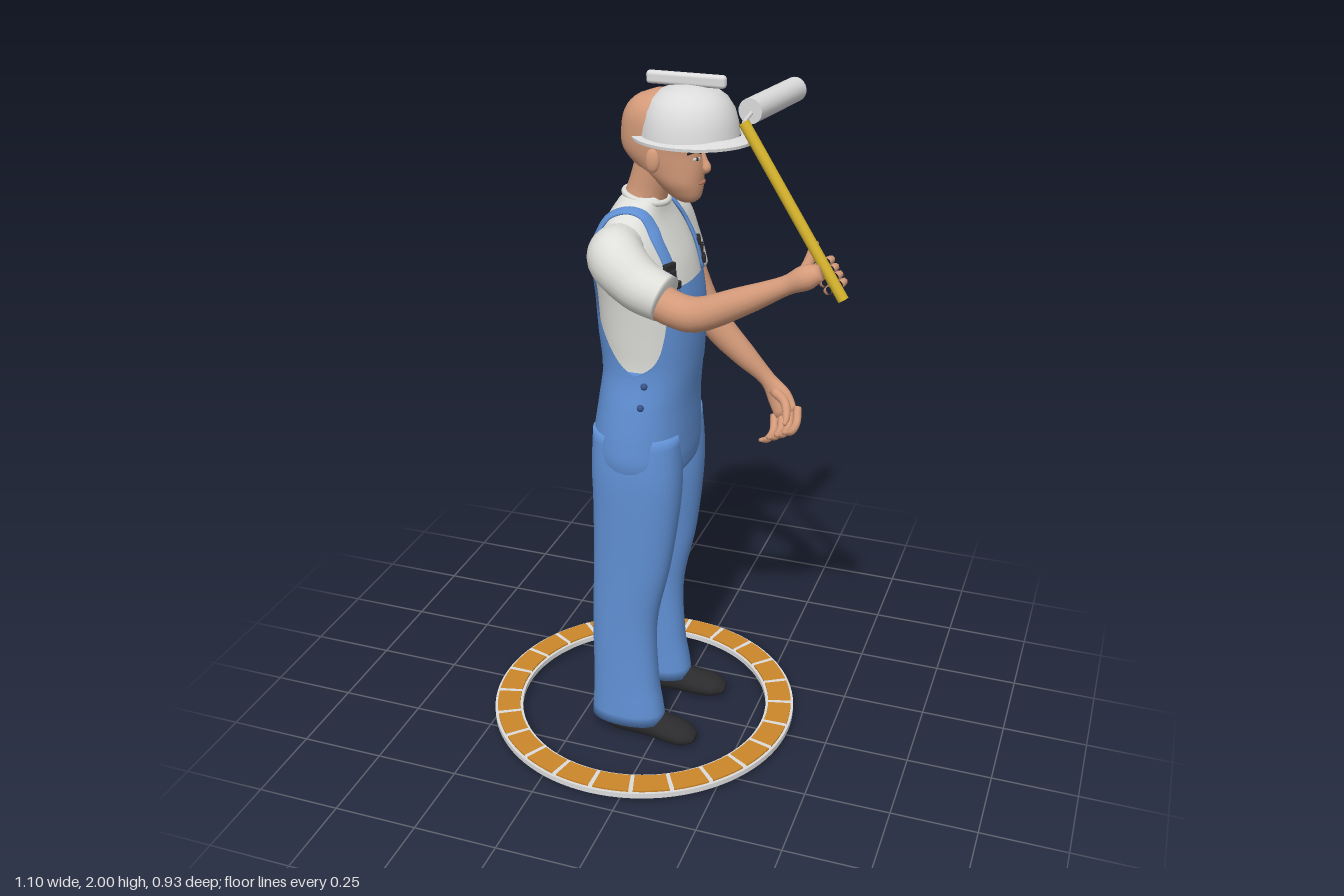
import * as THREE from 'three';
import { toCreasedNormals } from 'three/addons/utils/BufferGeometryUtils.js';
import { RoundedBoxGeometry } from 'three/addons/geometries/RoundedBoxGeometry.js';

const V = (x, y, z) => new THREE.Vector3(x, y, z);
const mat = (name, color, side = THREE.FrontSide) => {
  const m = new THREE.MeshStandardMaterial({ color, side });
  m.name = name;
  return m;
};

// Smooth surface from f(u, v); u runs around, v runs along; closed ones get end caps
function grid(f, nu, nv, closed = true) {
  const pos = [], idx = [], w = closed ? nu : nu + 1;
  for (let j = 0; j <= nv; j++) for (let i = 0; i < w; i++) pos.push(...f(i / nu, j / nv).toArray());
  for (let j = 0; j < nv; j++) for (let i = 0; i < nu; i++) {
    const a = j * w + i, b = j * w + (i + 1) % w, c = a + w, d = b + w;
    idx.push(a, b, d, a, d, c);
  }
  if (closed) for (const j of [0, nv]) {
    const mid = V(0, 0, 0), n = pos.length / 3;
    for (let i = 0; i < w; i++) mid.add(f(i / nu, j / nv));
    pos.push(...mid.divideScalar(w).toArray());
    for (let i = 0; i < w; i++) {
      const a = j * w + i, b = j * w + (i + 1) % w;
      if (j === 0) idx.push(n, b, a); else idx.push(n, a, b);
    }
  }
  const g = new THREE.BufferGeometry();
  g.setAttribute('position', new THREE.Float32BufferAttribute(pos, 3));
  g.setIndex(idx);
  g.computeVertexNormals();
  return g;
}

// Smooth lookup in rows sorted by their first value
function at(rows, t) {
  const n = rows.length - 1;
  let k = 0;
  while (k < n - 1 && rows[k + 1][0] < t) k++;
  const slope = (i, c) => {
    const p = rows[Math.max(i - 1, 0)], q = rows[Math.min(i + 1, n)];
    return (q[c] - p[c]) / (q[0] - p[0]);
  };
  const a = rows[k], b = rows[k + 1], h = b[0] - a[0];
  const s = Math.min(Math.max((t - a[0]) / h, 0), 1), s2 = s * s, s3 = s2 * s;
  return a.map((v, c) => c === 0 ? t : (2 * s3 - 3 * s2 + 1) * v + (s3 - 2 * s2 + s) * h * slope(k, c)
    + (3 * s2 - 2 * s3) * b[c] + (s3 - s2) * h * slope(k + 1, c));
}

// Point on stacked oval rings [y, cx, cz, rx, rz]; angle 0 faces forward (+x)
function onRings(rows, y, ang, off = 0, e = 0.88) {
  const [, cx, cz, rx, rz] = at(rows, y), c = Math.cos(ang), s = Math.sin(ang);
  return V(cx + (rx + off) * Math.sign(c) * Math.abs(c) ** e, y, cz + (rz + off) * Math.sign(s) * Math.abs(s) ** e);
}
const loft = (rows, y0, y1, off = 0, nv = 30, e = 0.88) =>
  grid((u, v) => onRings(rows, y0 + (y1 - y0) * v, -u * Math.PI * 2, off, e), 36, nv);

// Oval tube through rows [x, y, z, radius, cross radius]; ref sets the first radius direction
function sweep(rows, ref, nu = 16, nv = 24) {
  const curve = new THREE.CatmullRomCurve3(rows.map(r => V(...r)));
  const radii = rows.map((r, i) => [i, r[3], r[4] ?? r[3]]);
  return grid((u, v) => {
    const p = curve.getPoint(v), t = curve.getTangent(v), n = ref(p);
    n.addScaledVector(t, -n.dot(t)).normalize();
    const b = t.clone().cross(n), [, r1, r2] = at(radii, v * (rows.length - 1)), a = u * Math.PI * 2;
    return p.addScaledVector(n, r1 * Math.cos(a)).addScaledVector(b, r2 * Math.sin(a));
  }, nu, nv);
}
const refX = () => V(1, 0, 0), refY = () => V(0, 1, 0), refZ = () => V(0, 0, 1);

const BODY = [[0.85, -0.06, 0, 0.03, 0.06], [0.885, -0.063, 0, 0.115, 0.165], [0.93, -0.064, 0, 0.132, 0.192],
  [1.0, -0.065, 0, 0.135, 0.19], [1.1, -0.058, 0, 0.129, 0.175], [1.2, -0.048, 0, 0.128, 0.157],
  [1.3, -0.05, 0, 0.135, 0.162], [1.4, -0.055, 0, 0.135, 0.172], [1.5, -0.07, 0, 0.125, 0.185],
  [1.57, -0.08, 0, 0.1, 0.185], [1.62, -0.083, 0, 0.076, 0.145], [1.655, -0.078, 0, 0.062, 0.09], [1.675, -0.07, 0, 0.054, 0.062]];
const LEG = [[0.06, -0.088, 0.127, 0.114, 0.069], [0.12, -0.09, 0.127, 0.108, 0.067], [0.2, -0.095, 0.125, 0.1, 0.065],
  [0.4, -0.098, 0.122, 0.098, 0.064], [0.6, -0.075, 0.118, 0.115, 0.071], [0.8, -0.063, 0.105, 0.128, 0.09],
  [0.9, -0.063, 0.1, 0.131, 0.096], [1.02, -0.065, 0.095, 0.125, 0.09]];
const HEAD = [[1.662, 0.05, 0, 0.02, 0.018], [1.672, 0.048, 0, 0.035, 0.034], [1.695, 0.037, 0, 0.053, 0.05],
  [1.72, 0.025, 0, 0.067, 0.063], [1.76, 0, 0, 0.094, 0.072], [1.8, -0.018, 0, 0.109, 0.079],
  [1.85, -0.018, 0, 0.113, 0.084], [1.9, -0.02, 0, 0.1, 0.08], [1.935, -0.02, 0, 0.07, 0.058], [1.955, -0.02, 0, 0.02, 0.018]];

export function createModel() {
  const group = new THREE.Group();
  const blue = mat('denim blue', 0x6090d4, THREE.DoubleSide), white = mat('shirt white', 0xdededa);
  const grey = mat('light grey', 0xdcdcdc, THREE.DoubleSide), skin = mat('skin', 0xd59b7a);
  const lip = mat('lip', 0xb8755f), black = mat('black', 0x2b2b2d), orange = mat('orange', 0xcc862a);
  const yellow = mat('yellow', 0xd2b02c), navy = mat('button blue', 0x37548a);
  const add = (name, geo, m, p) => {
    const mesh = new THREE.Mesh(geo, m);
    mesh.name = name;
    if (p) mesh.position.copy(p);
    group.add(mesh);
    return mesh;
  };

  // Floor ring with inlaid tiles
  const band = (r0, r1, y0, y1, seg, a0, len) => toCreasedNormals(new THREE.LatheGeometry(
    [[r0, y0], [r1, y0], [r1, y1], [r0, y1], [r0, y0]].map(p => new THREE.Vector2(...p)), seg, a0, len), 0.6);
  const ringAt = V(-0.085, 0, 0), step = Math.PI / 12;
  add('ringBase', band(0.38, 0.466, 0.015, 0.031, 96), grey, ringAt);
  for (let i = 0; i < 24; i++) add('ringTile', band(0.388, 0.458, 0.02, 0.036, 4, i * step + 0.014, step - 0.028), orange, ringAt);

  // Shirt, trousers, bib and back panel
  add('shirt', loft(BODY, 1.15, 1.675), white);
  add('trouserSeat', loft(BODY, 0.85, 1.215, 0.005), blue);
  const panel = (rows, y1, mid) => grid((u, v) => {
    const y = 1.2 + (y1 - 1.2) * v;
    return onRings(BODY, y, mid + (1 - 2 * u) * at(rows, y)[1], 0.007);
  }, 24, 20, false);
  add('bib', panel([[1.2, 1.62], [1.24, 1.22], [1.3, 1.02], [1.455, 0.8]], 1.455, 0), blue);
  add('backPanel', panel([[1.2, 1.62], [1.24, 1.3], [1.3, 1.02], [1.4, 0.62], [1.48, 0.4]], 1.48, Math.PI), blue);
  const collar = add('collar', new THREE.TorusGeometry(0.06, 0.009, 8, 32), white, V(-0.066, 1.667, 0));
  collar.rotation.set(Math.PI / 2, -0.2, 0);

  for (const s of [1, -1]) {
    const rows = LEG.map(([y, cx, cz, rx, rz]) => [y, cx, cz * s, rx, rz]);
    add('trouserLeg', loft(rows, 0.06, 1.02), blue);

    // Shoe with a flat sole
    const f = s < 0 ? 0.01 : 0;
    const shoe = sweep([[-0.155, 0.04, 0.118, 0.028, 0.02], [-0.13, 0.042, 0.12, 0.045, 0.04], [-0.04, 0.044, 0.125, 0.046, 0.042],
      [0.04, 0.036, 0.13, 0.037, 0.05], [0.095, 0.03, 0.135, 0.03, 0.046], [0.128, 0.024, 0.136, 0.012, 0.022]]
      .map(([x, y, z, a, b]) => [x + f, y, z * s, a, b]), refY, 20);
    const p = shoe.attributes.position;
    for (let i = 0; i < p.count; i++) p.setY(i, Math.max(p.getY(i), 0));
    shoe.computeVertexNormals();
    add('shoe', shoe, black);

    // Shoulder strap, buckle and hip buttons
    const path = [[1.44, 0.62], [1.52, 0.58], [1.58, 0.6], [1.615, 0.68], [1.642, 1.0], [1.652, 1.57], [1.635, 2.2],
      [1.59, 2.5], [1.53, 2.68], [1.45, 2.85]].map(([y, a]) => [...onRings(BODY, y, a * s, 0.006).toArray(), 0.006, 0.02]);
    add('strap', sweep(path, q => q.clone().sub(V(-0.07, 1.45, q.z * 0.6)), 12, 48), blue);
    for (const [y, w, h] of [[1.515, 0.042, 0.022], [1.488, 0.018, 0.04], [1.465, 0.036, 0.022]]) {
      const b = add('buckle', new RoundedBoxGeometry(0.014, h, w, 2, 0.004), black, onRings(BODY, y, 0.6 * s, 0.012));
      b.rotation.y = -0.4 * s;
    }
    for (const y of [1.12, 1.18]) add('hipButton', new THREE.SphereGeometry(0.01, 12, 8), navy, onRings(BODY, y, 1.38 * s, 0.006));

    // Face features on each side
    const ear = add('ear', new THREE.SphereGeometry(1, 14, 10), skin, V(-0.02, 1.785, 0.081 * s));
    ear.scale.set(0.02, 0.032, 0.011);
    const line = (pts, r, w) => sweep(pts.map(([y, a]) => [...onRings(HEAD, y, a * s).toArray(), r, w]), refX, 8, 10);
    add('eyebrow', line([[1.8, 0.16], [1.808, 0.4], [1.803, 0.72]], 0.003, 0.004), black);
    add('eye', line([[1.785, 0.24], [1.786, 0.38], [1.786, 0.54]], 0.002, 0.004), white);
    add('pupil', new THREE.SphereGeometry(0.0045, 10, 8), black, onRings(HEAD, 1.786, 0.38 * s));
  }

  // Head
  add('neck', sweep([[-0.078, 1.63, 0, 0.062], [-0.06, 1.69, 0, 0.056], [-0.035, 1.76, 0, 0.06]], refZ), skin);
  add('head', loft(HEAD, 1.662, 1.955, 0, 36, 0.95), skin);
  add('nose', sweep([[0.088, 1.8, 0, 0.006], [0.095, 1.775, 0, 0.009], [0.1, 1.755, 0, 0.013], [0.092, 1.742, 0, 0.006]], refZ, 12), skin);
  add('mouth', sweep([-0.32, 0, 0.32].map((a, i) => [...onRings(HEAD, 1.717, a).toArray(), i === 1 ? 0.006 : 0.002]), refY, 8, 10), lip);

  // Hard hat
  const lathe = pts => toCreasedNormals(new THREE.LatheGeometry(pts.map(q => new THREE.Vector2(...q)), 48), 0.7);
  add('hatDome', lathe([[0.132, 1.845], [0.128, 1.875], [0.118, 1.91], [0.1, 1.938], [0.075, 1.957], [0.04, 1.969], [0, 1.973]]), grey, V(0.054, 0, 0));
  const brim = add('hatBrim', lathe([[0.125, 1.846], [0.125, 1.838], [0.165, 1.834], [0.166, 1.842], [0.13, 1.852]]), grey, V(0.065, 0, 0));
  brim.scale.z = 0.89;
  add('hatRidge', new RoundedBoxGeometry(0.215, 0.034, 0.024, 3, 0.01), grey, V(0.044, 1.983, 0));

  // Raised right arm
  add('rightSleeve', sweep([[-0.09, 1.56, 0.12, 0.066], [-0.08, 1.552, 0.195, 0.077], [0, 1.5, 0.235, 0.069], [0.072, 1.475, 0.245, 0.063]], refY, 20), white);
  add('rightArm', sweep([[0.03, 1.48, 0.245, 0.05], [0.1, 1.452, 0.25, 0.047], [0.16, 1.45, 0.26, 0.046],
    [0.28, 1.505, 0.275, 0.038], [0.4, 1.568, 0.287, 0.025], [0.45, 1.595, 0.287, 0.032], [0.485, 1.61, 0.283, 0.02]], refY), skin);

  // Paint roller
  const low = V(0.54, 1.54, 0.268), high = V(0.26, 1.94, 0.207);
  const rod = (name, a, b, r, m) => {
    const dir = b.clone().sub(a);
    const mesh = add(name, new THREE.CylinderGeometry(r, r, dir.length(), 20), m, a.clone().add(b).multiplyScalar(0.5));
    mesh.quaternion.setFromUnitVectors(V(0, 1, 0), dir.normalize());
  };
  rod('rollerHandle', low, high, 0.014, yellow);
  rod('rollerWire', high, V(0.257, 1.947, 0.12), 0.005, grey);
  rod('rollerSleeve', V(0.255, 1.95, 0.137), V(0.3, 1.95, -0.122), 0.032, grey);

  // Right fingers gripping the handle
  const axis = high.clone().sub(low).normalize();
  for (let i = 0; i < 4; i++) {
    const ringFinger = add('rightFinger', new THREE.TorusGeometry(0.022, 0.0105, 8, 20, 4.8), skin, low.clone().lerp(high, 0.08 + i * 0.042));
    ringFinger.quaternion.setFromUnitVectors(V(0, 0, 1), axis);
  }
  add('rightThumb', sweep([[0.43, 1.585, 0.272, 0.014], [0.445, 1.62, 0.25, 0.014], [0.455, 1.655, 0.24, 0.012], [0.46, 1.672, 0.238, 0.005]], refZ, 10, 12), skin);

  // Lowered left arm and open hand
  add('leftSleeve', sweep([[-0.09, 1.56, -0.12, 0.066], [-0.085, 1.552, -0.195, 0.077], [-0.06, 1.47, -0.235, 0.07], [-0.03, 1.38, -0.248, 0.06]], refX, 20), white);
  add('leftArm', sweep([[-0.045, 1.43, -0.242, 0.05], [0.01, 1.28, -0.264, 0.044], [0.055, 1.2, -0.273, 0.045],
    [0.13, 1.115, -0.288, 0.036], [0.2, 1.04, -0.303, 0.024], [0.24, 0.99, -0.298, 0.022, 0.038], [0.268, 0.945, -0.28, 0.016, 0.038]], refZ), skin);
  for (let i = 0; i < 4; i++) {
    const d = i * 0.023;
    add('leftFinger', sweep([[0.23 + d, 0.932 + d * 0.5, -0.288, 0.013], [0.238 + d, 0.9 + d * 0.5, -0.252, 0.012],
      [0.234 + d, 0.892 + d * 0.5, -0.205, 0.011], [0.222 + d, 0.905 + d * 0.5, -0.165, 0.006]], refX, 10, 12), skin);
  }
  add('leftThumb', sweep([[0.225, 1.01, -0.29, 0.016], [0.268, 0.995, -0.255, 0.014], [0.285, 0.965, -0.215, 0.011], [0.285, 0.95, -0.195, 0.005]], refY, 10, 12), skin);
  return group;
}
